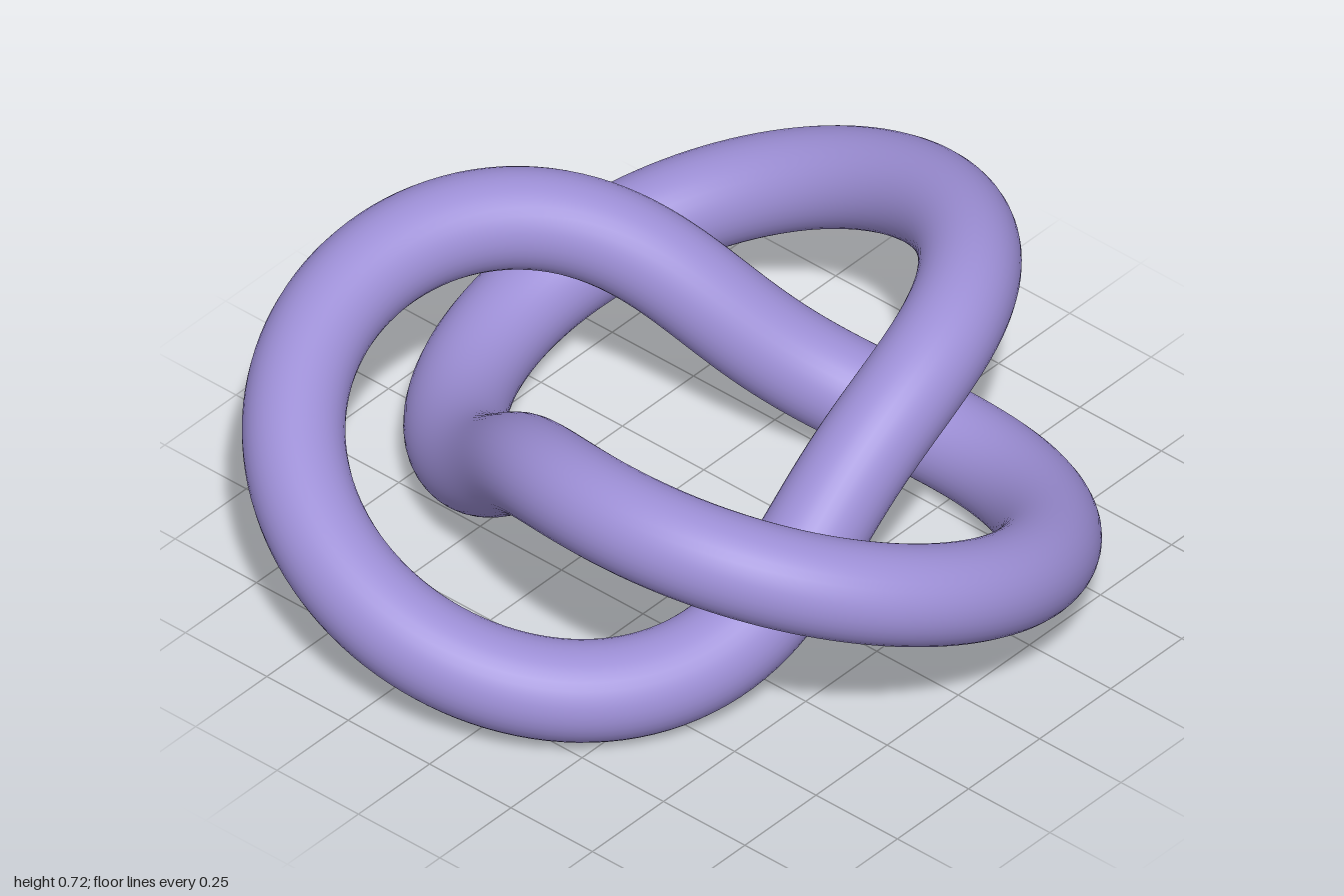
import * as THREE from 'three';

// Trefoil winding: two turns around the ring, three around its core
class TrefoilCurve extends THREE.Curve {
  constructor(ringRadius, coreRadius) {
    super();
    this.ringRadius = ringRadius;
    this.coreRadius = coreRadius;
  }
  getPoint(u, target = new THREE.Vector3()) {
    const t = u * Math.PI * 2;
    const r = this.ringRadius + this.coreRadius * Math.cos(3 * t);
    return target.set(
      r * Math.cos(2 * t),
      this.coreRadius * Math.sin(3 * t),
      r * Math.sin(2 * t)
    );
  }
}

export function createModel() {
  const group = new THREE.Group();
  group.name = 'trefoilKnot';

  // One closed round tube, lifted to stand on the ground
  const tubeRadius = 0.12;
  const curve = new TrefoilCurve(0.686, 0.24);
  const knot = new THREE.Mesh(
    new THREE.TubeGeometry(curve, 320, tubeRadius, 36, true),
    new THREE.MeshStandardMaterial({ color: 0x9d8fd6 })
  );
  knot.name = 'knotTube';
  knot.position.set(-0.086, 0.36, 0);
  group.add(knot);

  return group;
}
